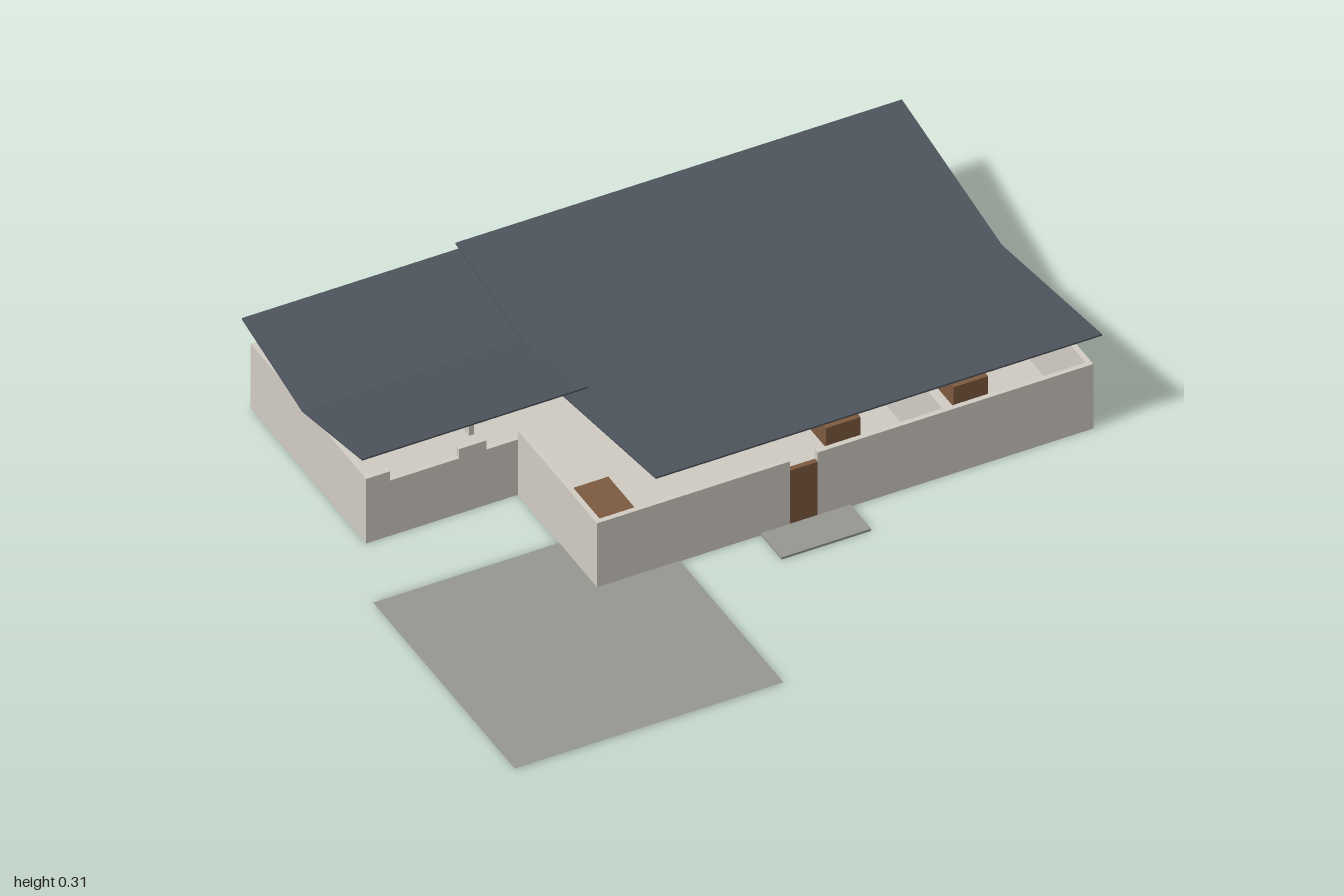
import * as THREE from 'three';

const mat = (name, color) => {
  const m = new THREE.MeshStandardMaterial({ color });
  m.name = name;
  return m;
};

export function createModel() {
  const house = new THREE.Group();
  house.name = 'house';
  const wallMat = mat('plaster', 0xd2ccc4);
  const floorMat = mat('floor', 0xd0cbc3);
  const roofMat = mat('roofing', 0x4d545c);
  const pavingMat = mat('paving', 0x979891);
  const woodMat = mat('wood', 0x7e5a40);
  pavingMat.side = THREE.DoubleSide;

  const H = 0.21; // wall height
  const HEAD = 0.18; // height below the openings at the wall top
  const T = 0.015; // wall thickness

  // Box given by its limits on each axis
  const box = (name, m, x0, x1, y0, y1, z0, z1) => {
    const mesh = new THREE.Mesh(new THREE.BoxGeometry(x1 - x0, y1 - y0, z1 - z0), m);
    mesh.position.set((x0 + x1) / 2, (y0 + y1) / 2, (z0 + z1) / 2);
    mesh.name = name;
    house.add(mesh);
    return mesh;
  };
  const wallX = (name, x0, x1, z, h = H) => box(name, wallMat, x0, x1, 0, h, z, z + T);
  const wallZ = (name, x, z0, z1, h = H) => box(name, wallMat, x, x + T, 0, h, z0, z1);

  // L-shaped floor slab
  const plan = new THREE.Shape([
    [-0.9, 0.82], [-0.9, 0.18], [-0.46, 0.18], [-0.46, -0.26], [0.98, -0.26], [0.98, 0.82],
  ].map(([x, y]) => new THREE.Vector2(x, y)));
  const slab = new THREE.Mesh(
    new THREE.ExtrudeGeometry(plan, { depth: 0.006, bevelEnabled: false }).rotateX(-Math.PI / 2),
    floorMat);
  slab.name = 'floorSlab';
  house.add(slab);

  // Outer walls
  wallX('backWall', -0.9, 0.98, -0.82);
  wallZ('rightEndWall', -0.9, -0.82 + T, -0.18);
  wallZ('leftEndWall', 0.98 - T, -0.82 + T, 0.26);
  wallZ('mainSideWall', -0.46, -0.18, 0.26);

  // Wing front wall with two openings along the top
  [[-0.9 + T, -0.83, H], [-0.83, -0.63, HEAD], [-0.63, -0.55, H], [-0.55, -0.46, HEAD]]
    .forEach(([a, b, h]) => wallX('wingFrontWall', a, b, -0.18 - T, h));

  // Main front wall, door and the gap above it
  wallX('mainFrontWall', -0.46 + T, 0.1, 0.26 - T);
  wallX('mainFrontWall', 0.18, 0.98 - T, 0.26 - T);
  box('frontDoor', woodMat, 0.1, 0.18, 0.006, HEAD, 0.26 - T, 0.26);

  // Partitions
  wallZ('partition', -0.46, -0.82 + T, -0.45);
  [0.02, 0.24, 0.6].forEach((x) => wallZ('partition', x, -0.82 + T, -0.42));
  wallX('partition', 0.02, 0.965, -0.42);
  wallZ('partition', 0.55, -0.3, 0.245);

  // Low furniture
  box('table', woodMat, -0.36, -0.26, 0.006, 0.07, -0.06, 0.14);
  box('table', woodMat, 0.33, 0.43, 0.006, 0.07, -0.08, 0.02);
  box('table', woodMat, 0.7, 0.8, 0.006, 0.07, -0.08, 0.02);

  // Butterfly roofs: thin V profile swept along x
  const roof = (name, x0, x1, zFront, zValley, zBack, low, high) => {
    const t = 0.005;
    const v = new THREE.Shape([
      [-zFront, high - t], [-zValley, low - t], [-zBack, high - t],
      [-zBack, high], [-zValley, low], [-zFront, high],
    ].map(([x, y]) => new THREE.Vector2(x, y)));
    const g = new THREE.ExtrudeGeometry(v, { depth: x1 - x0, bevelEnabled: false });
    g.rotateY(Math.PI / 2).translate(x0, 0, 0);
    const mesh = new THREE.Mesh(g, roofMat);
    mesh.name = name;
    house.add(mesh);
  };
  roof('mainRoof', -0.295, 1, 0.27, -0.285, -0.84, 0.215, 0.307);
  roof('wingRoof', -0.915, -0.26, -0.173, -0.506, -0.84, 0.215, 0.285);

  // Paving outside
  const patio = new THREE.Mesh(
    new THREE.PlaneGeometry(0.78, 0.785).rotateX(-Math.PI / 2), pavingMat);
  patio.position.set(-0.61, 0.002, 0.4425);
  patio.name = 'patio';
  house.add(patio);
  box('doorstep', pavingMat, 0.015, 0.275, 0, 0.007, 0.26, 0.375);

  return house;
}
